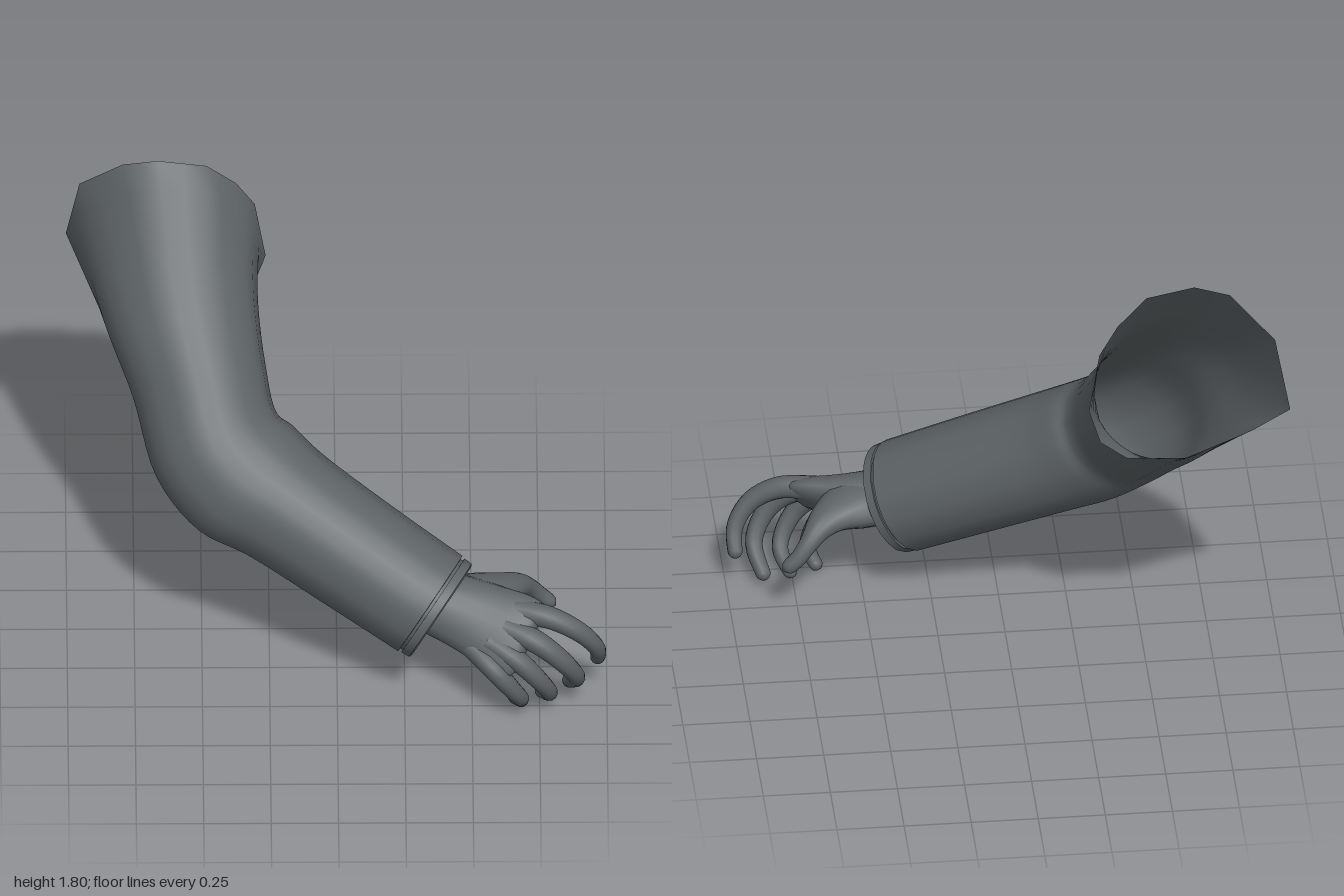
import * as THREE from 'three';
import { toCreasedNormals } from 'three/addons/utils/BufferGeometryUtils.js';

const V = (a) => new THREE.Vector3(...a);
const fullCircle = (n) => Array.from({ length: n }, (_, i) => (i / n) * Math.PI * 2);

// Elliptical ring around a centre; "side" fixes where angle zero points
function ring(center, tangent, side, ru, rv, angles) {
  const t = tangent.clone().normalize();
  const u = side.clone().addScaledVector(t, -side.dot(t)).normalize();
  const v = t.clone().cross(u);
  return angles.map((a) => center.clone()
    .addScaledVector(u, Math.cos(a) * ru)
    .addScaledVector(v, Math.sin(a) * rv));
}

// Rings along a list of [centre, side radius, other radius]
function sections(list, side, angles) {
  const c = list.map((s) => V(s[0])), last = c.length - 1;
  const step = (i) => c[i + 1].clone().sub(c[i]).normalize();
  return list.map(([, ru, rv], i) =>
    ring(c[i], step(Math.max(0, i - 1)).add(step(Math.min(last - 1, i))), side, ru, rv, angles));
}

// Skin over a list of equal-length rings
function loft(rings) {
  const n = rings[0].length, pos = [], idx = [];
  rings.forEach((r) => r.forEach((p) => pos.push(p.x, p.y, p.z)));
  for (let i = 0; i < rings.length - 1; i++) {
    for (let j = 0; j < n; j++) {
      const a = i * n + j, b = i * n + (j + 1) % n, c = a + n, d = b + n;
      idx.push(a, b, c, b, d, c);
    }
  }
  const g = new THREE.BufferGeometry();
  g.setAttribute('position', new THREE.Float32BufferAttribute(pos, 3));
  g.setIndex(idx);
  g.computeVertexNormals();
  return g;
}

// Smooth skin passing through a few station rings
function smoothLoft(stations, steps) {
  const lines = stations[0].map((_, j) => new THREE.CatmullRomCurve3(stations.map((s) => s[j])));
  return loft(Array.from({ length: steps + 1 }, (_, i) => lines.map((l) => l.getPoint(i / steps))));
}

// Tapered finger with a rounded tip
function finger(points, r0, r1) {
  const curve = new THREE.CatmullRomCurve3(points.map(V));
  const len = curve.getLength(), rings = [], steps = 18, cap = 5;
  const side = V([0.65, 0.6, -0.45]);
  const tipStart = 1 - r1 / len;
  for (let i = 0; i <= steps + cap; i++) {
    const k = Math.max(0, i - steps) / cap;
    const t = i <= steps ? (i / steps) * tipStart : tipStart + (1 - tipStart) * Math.sin(k * Math.PI / 2);
    const r = THREE.MathUtils.lerp(r0, r1, Math.min(1, t / tipStart)) * Math.max(0.01, Math.cos(k * Math.PI / 2));
    rings.push(ring(curve.getPointAt(t), curve.getTangentAt(t), side, r, r, fullCircle(12)));
  }
  return loft(rings);
}

export function createModel() {
  const group = new THREE.Group();
  const grey = new THREE.MeshStandardMaterial({ color: 0x5d6265, side: THREE.DoubleSide });
  grey.name = 'slate grey';
  const add = (name, geometry) => {
    const m = new THREE.Mesh(geometry, grey);
    m.name = name;
    group.add(m);
  };

  // Ragged shoulder opening, with a midpoint on every edge
  const corners = [
    [-0.26, 1.33, -0.53], [-0.30, 1.57, -0.52], [-0.37, 1.68, -0.50], [-0.48, 1.78, -0.47],
    [-0.66, 1.81, -0.46], [-0.79, 1.78, -0.48], [-0.95, 1.63, -0.57], [-1.0, 1.36, -0.635],
    [-0.87, 1.22, -0.55], [-0.62, 1.115, -0.555], [-0.40, 1.13, -0.56], [-0.30, 1.21, -0.563],
  ].map(V);
  const rim = corners.flatMap((p, i) => [p, p.clone().lerp(corners[(i + 1) % corners.length], 0.5)]);
  const angles = rim.map((p) => Math.atan2((p.y - 1.46) / 0.34, (p.x + 0.63) / 0.37));

  // Sleeve: centre, side radius, front radius
  const armAxis = V([1, 0, 0]);
  const arm = [
    [[-0.575, 1.24, -0.325], 0.292, 0.25],
    [[-0.51, 1.045, -0.13], 0.255, 0.238],
    [[-0.443, 0.865, 0.04], 0.255, 0.222],
    [[-0.34, 0.772, 0.108], 0.262, 0.225],
    [[-0.2, 0.695, 0.163], 0.235, 0.226],
    [[0.08, 0.537, 0.277], 0.221, 0.221],
    [[0.345, 0.389, 0.38], 0.214, 0.214],
  ];
  add('sleeve', smoothLoft([rim, ...sections(arm, armAxis, angles)], 35));

  // Cuff: stepped open band at the end of the sleeve
  const wrist = V(arm[6][0]);
  const foreDir = wrist.clone().sub(V(arm[5][0])).normalize();
  const cuffProfile = [[0, 0.214], [0.001, 0.2], [0.012, 0.2], [0.012, 0.21], [0.045, 0.208], [0.05, 0.198], [-0.03, 0.194]];
  add('cuff', toCreasedNormals(loft(cuffProfile.map(([d, r]) =>
    ring(wrist.clone().addScaledVector(foreDir, d), foreDir, armAxis, r, r, angles))), 0.6));

  // Palm: centre, half width, half thickness
  const palm = [
    [[0.28, 0.42, 0.36], 0.11, 0.09],
    [[0.36, 0.40, 0.38], 0.122, 0.1],
    [[0.46, 0.375, 0.41], 0.135, 0.092],
    [[0.56, 0.352, 0.455], 0.148, 0.074],
    [[0.665, 0.33, 0.505], 0.157, 0.054],
    [[0.705, 0.32, 0.522], 0.143, 0.038],
    [[0.72, 0.316, 0.528], 0.001, 0.001],
  ];
  add('palm', smoothLoft(sections(palm, V([0.65, 0.6, -0.45]), fullCircle(20)), 24));

  // Thumb: broad web at the base, thinning to a bent tip
  const thumb = [
    [[0.42, 0.39, 0.37], 0.11, 0.09],
    [[0.53, 0.392, 0.335], 0.12, 0.078],
    [[0.62, 0.385, 0.275], 0.08, 0.055],
    [[0.675, 0.362, 0.225], 0.052, 0.045],
    [[0.715, 0.322, 0.187], 0.036, 0.036],
    [[0.755, 0.275, 0.167], 0.031, 0.031],
    [[0.795, 0.238, 0.163], 0.026, 0.026],
    [[0.812, 0.225, 0.162], 0.001, 0.001],
  ];
  add('thumb', smoothLoft(sections(thumb, V([0.6, 0.1, 0.75]), fullCircle(16)), 28));

  // Curled fingers: path, root radius, tip radius
  const fingers = {
    indexFinger: [[[0.66, 0.40, 0.44], [0.79, 0.39, 0.475], [0.90, 0.33, 0.485], [0.962, 0.24, 0.455], [0.966, 0.14, 0.39]], 0.048, 0.028],
    middleFinger: [[[0.62, 0.36, 0.49], [0.74, 0.325, 0.54], [0.83, 0.25, 0.55], [0.887, 0.14, 0.50], [0.855, 0.04, 0.385]], 0.048, 0.028],
    ringFinger: [[[0.56, 0.32, 0.52], [0.67, 0.265, 0.575], [0.74, 0.19, 0.58], [0.787, 0.09, 0.53], [0.75, 0.022, 0.42]], 0.046, 0.026],
    littleFinger: [[[0.50, 0.29, 0.51], [0.59, 0.225, 0.59], [0.645, 0.15, 0.59], [0.682, 0.075, 0.55], [0.65, 0.024, 0.46]], 0.046, 0.026],
  };
  for (const [name, args] of Object.entries(fingers)) add(name, finger(...args));

  return group;
}
